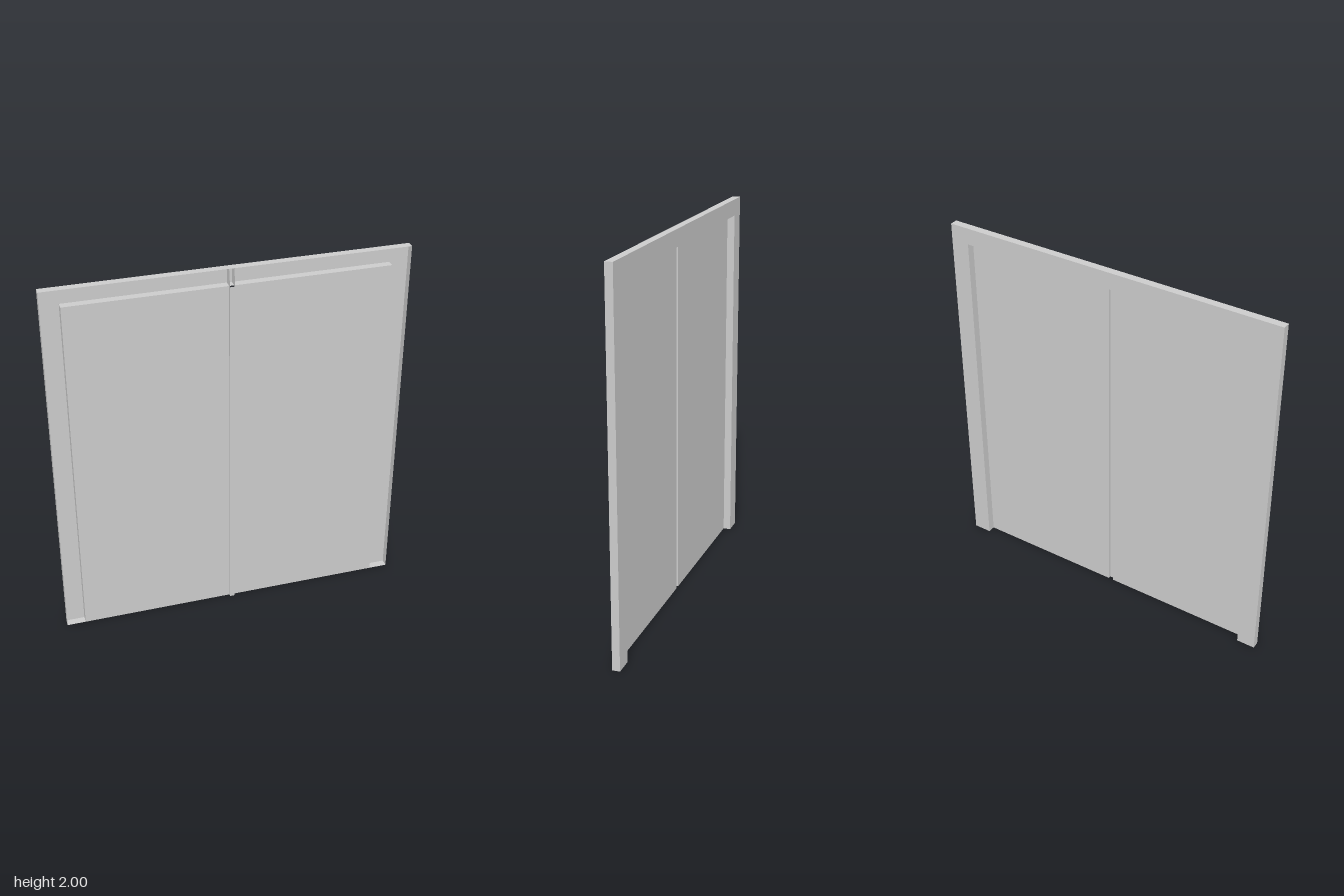
import * as THREE from 'three';

const W = 0.935, H = 2, DW = 0.835, DH = 1.91; // frame and doorway sizes
const BACK = -0.028, FACE = 0.013, FRONT = 0.028; // depth planes
const P = 0.013; // half width of the centre post

const mat = new THREE.MeshStandardMaterial({ color: 0xcccccc, side: THREE.DoubleSide, flatShading: true });

export function createModel() {
  const model = new THREE.Group();
  const add = (name, geometry, parent = model) => {
    const mesh = new THREE.Mesh(geometry, mat);
    mesh.name = name;
    parent.add(mesh);
    return mesh;
  };
  const shapeOf = (pts) => new THREE.Shape(pts.map(([x, y]) => new THREE.Vector2(x, y)));

  // Frame: a U-shaped back sheet with walls along its outline, open at the front
  const frame = new THREE.Group();
  frame.name = 'frame';
  model.add(frame);
  const outline = [[-W, 0], [-DW, 0], [-DW, DH], [DW, DH], [DW, 0], [W, 0], [W, H], [-W, H]];
  add('frameBack', new THREE.ShapeGeometry(shapeOf(outline)).rotateY(Math.PI), frame).position.z = BACK;
  const wallNames = ['rightFoot', 'rightJamb', 'lintel', 'leftJamb', 'leftFoot', 'leftEdge', 'topEdge', 'rightEdge'];
  outline.forEach(([x0, y0], i) => {
    const [x1, y1] = outline[(i + 1) % outline.length];
    const wall = new THREE.PlaneGeometry(Math.hypot(x1 - x0, y1 - y0), FACE - BACK);
    wall.rotateX(Math.PI / 2).rotateZ(Math.atan2(y1 - y0, x1 - x0));
    add(wallNames[i], wall, frame).position.set((x0 + x1) / 2, (y0 + y1) / 2, (BACK + FACE) / 2);
  });

  // Post: front strip and two side webs that reach back over the lintel
  const post = new THREE.Group();
  post.name = 'centrePost';
  model.add(post);
  add('postFront', new THREE.PlaneGeometry(2 * P, DH), post).position.set(0, DH / 2, FRONT);
  const web = shapeOf([[FACE, 0], [FRONT, 0], [FRONT, DH], [FACE, H], [BACK, H], [BACK, DH], [FACE, DH]]);

  for (const s of [-1, 1]) {
    const side = s > 0 ? 'left' : 'right';
    add(side + 'Door', new THREE.PlaneGeometry(DW - P, DH)).position.set(s * (DW + P) / 2, DH / 2, FACE);
    add(side + 'PostWeb', new THREE.ShapeGeometry(web).rotateY(-Math.PI / 2), post).position.x = s * P;
  }
  return model;
}
